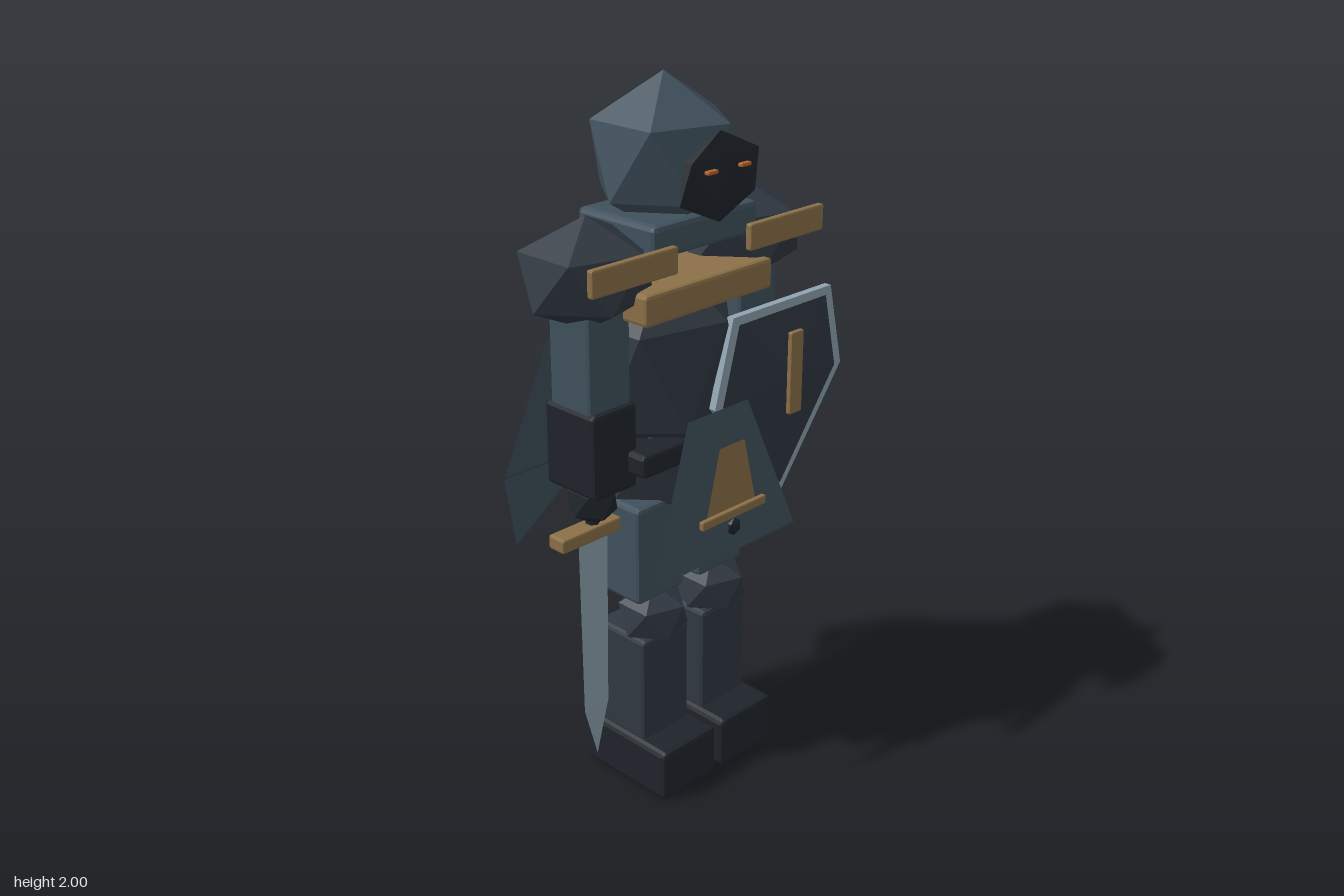
import * as THREE from 'three';
import { RoundedBoxGeometry } from 'three/addons/geometries/RoundedBoxGeometry.js';

const CX = -0.045; // body axis
const paint = (color) => new THREE.MeshStandardMaterial({ color, flatShading: true, side: THREE.DoubleSide });

export function createModel() {
  const model = new THREE.Group();
  const steel = paint(0x40515d), dark = paint(0x303842), black = paint(0x1f242b);
  const gold = paint(0x8c7048), blade = paint(0x8fa3af), ember = paint(0xb8622a);

  const add = (name, geometry, material) => {
    const mesh = new THREE.Mesh(geometry, material);
    mesh.name = name;
    model.add(mesh);
    return mesh;
  };

  // Chamfered box given by its limits
  const box = (name, mat, x0, x1, y0, y1, z0, z1, r = 0.012) => {
    const size = [x1 - x0, y1 - y0, z1 - z0];
    const g = new RoundedBoxGeometry(...size, 1, Math.min(r, Math.min(...size) * 0.25));
    return add(name, g.translate((x0 + x1) / 2, (y0 + y1) / 2, (z0 + z1) / 2), mat);
  };

  // Faceted ball: icosahedron standing on a vertex, scaled per axis
  const ball = (name, mat, x, y, z, rx, ry, rz) => {
    const g = new THREE.IcosahedronGeometry(1, 0);
    g.rotateZ(-Math.atan(2 / (1 + Math.sqrt(5))));
    return add(name, g.scale(rx, ry, rz).translate(x, y, z), mat);
  };

  // Flat sheet from corners, as a fan around the first one
  const sheet = (name, mat, corners) => {
    const tris = [];
    for (let i = 1; i < corners.length - 1; i++) tris.push(...corners[0], ...corners[i], ...corners[i + 1]);
    const g = new THREE.BufferGeometry();
    g.setAttribute('position', new THREE.Float32BufferAttribute(tris, 3));
    g.computeVertexNormals();
    return add(name, g, mat);
  };

  // Head
  ball('helmet', steel, CX, 1.786, 0.02, 0.214, 0.214, 0.21);
  ball('faceMask', black, CX, 1.762, 0.22, 0.16, 0.117, 0.027);
  for (const s of [-1, 1]) {
    const x = CX + s * 0.06;
    box('eye', ember, x - 0.018, x + 0.018, 1.783, 1.793, 0.24, 0.256);
  }
  box('neckGuard', steel, -0.235, 0.145, 1.57, 1.66, -0.106, 0.18, 0.015);

  // Torso
  ball('chest', dark, CX, 1.213, 0.025, 0.266, 0.31, 0.19);
  box('chestBand', gold, -0.28, 0.19, 1.41, 1.495, -0.127, 0.196, 0.01);
  box('belt', black, -0.283, 0.193, 0.99, 1.055, -0.137, 0.187);
  ball('pelvis', dark, CX, 0.95, 0.025, 0.22, 0.2, 0.18);

  // Arms and legs
  for (const s of [-1, 1]) {
    const side = s > 0 ? 'left' : 'right';
    const a = CX + s * 0.28, l = CX + s * 0.118;
    ball(side + 'Pauldron', dark, a, 1.53, 0.026, 0.2, 0.15, 0.182);
    box(side + 'PauldronTrim', gold, a - 0.146, a + 0.146, 1.535, 1.608, 0.187, 0.209, 0.008);
    box(side + 'UpperArm', steel, a - 0.072, a + 0.072, 1.15, 1.45, -0.045, 0.11);
    box(side + 'Forearm', black, a - 0.077, a + 0.077, 0.945, 1.185, -0.063, 0.127);
    ball(side + 'Hand', black, a, 0.9, 0.03, 0.072, 0.072, 0.08);
    box(side + 'Thigh', steel, l - 0.088, l + 0.088, 0.58, 0.87, -0.07, 0.13);
    ball(side + 'Knee', dark, l, 0.515, 0.095, 0.112, 0.09, 0.105);
    box(side + 'Shin', dark, l - 0.088, l + 0.088, 0.13, 0.47, -0.048, 0.148);
    box(side + 'Boot', black, l - 0.106, l + 0.106, 0, 0.155, -0.074, 0.245, 0.015);
  }

  // Tabard with a bell ornament
  sheet('tabard', steel, [
    [CX - 0.28, 0.715, 0.262], [CX + 0.28, 0.715, 0.262], [CX + 0.115, 1.13, 0.225], [CX - 0.115, 1.13, 0.225],
  ]);
  sheet('bellBody', gold, [
    [CX - 0.095, 0.86, 0.277], [CX + 0.095, 0.86, 0.277], [CX + 0.048, 1.05, 0.277], [CX - 0.048, 1.05, 0.277],
  ]);
  box('bellRim', gold, CX - 0.124, CX + 0.124, 0.838, 0.864, 0.276, 0.292, 0.004);
  ball('bellClapper', black, CX, 0.81, 0.288, 0.025, 0.026, 0.012);

  // Cape with two ragged tails
  sheet('cape', steel, [
    [CX + 0.35, 0.89, -0.252], [CX - 0.35, 0.89, -0.252], [CX - 0.262, 1.46, -0.085], [CX + 0.262, 1.46, -0.085],
  ]);
  for (const [s, tipY] of [[-1, 0.64], [1, 0.705]]) {
    const pts = [[CX + s * 0.35, 0.885, -0.255], [CX, 0.875, -0.26], [CX + s * 0.28, tipY, -0.298]];
    sheet('capeTail', steel, s > 0 ? pts : pts.reverse());
  }

  // Shield: rim plate, domed face made of facets, central bar
  const SX = 0.235, apex = [SX, 1.16, 0.242];
  const outline = [[-0.195, 1.36], [0.205, 1.36], [0.262, 1.115], [0.01, 0.78], [-0.262, 1.115]];
  const plate = new THREE.Shape(outline.map(([x, y]) => new THREE.Vector2(SX + x, y)));
  add('shieldRim', new THREE.ExtrudeGeometry(plate, { depth: 0.022, bevelEnabled: false }).translate(0, 0, 0.174), blade);
  const inner = outline.map(([x, y]) => [SX + x * 0.89, 1.12 + (y - 1.12) * 0.9, 0.198]);
  sheet('shieldFace', dark, [apex, ...[...inner, inner[0]].reverse()]);
  const back = outline.map(([x, y]) => [SX + x * 0.89, 1.12 + (y - 1.12) * 0.9, 0.172]);
  sheet('shieldBack', dark, back);
  box('shieldBar', gold, SX - 0.025, SX + 0.025, 1.05, 1.29, 0.24, 0.256, 0.004);

  // Sword: diamond section blade narrowing to a point, crossguard, grip
  const WX = -0.325, WZ = 0.03;
  const rows = [[0.81, 0.053], [0.25, 0.045], [0.09, 0]];
  const ring = ([y, w]) => [[WX + w, y, WZ], [WX, y, WZ + w * 0.25], [WX - w, y, WZ], [WX, y, WZ - w * 0.25]];
  const tris = [];
  for (let r = 0; r < 2; r++) {
    const top = ring(rows[r]), low = ring(rows[r + 1]);
    for (let i = 0; i < 4; i++) {
      const j = (i + 1) % 4;
      tris.push(...top[i], ...low[j], ...low[i], ...top[i], ...top[j], ...low[j]);
    }
  }
  const bladeShape = new THREE.BufferGeometry();
  bladeShape.setAttribute('position', new THREE.Float32BufferAttribute(tris, 3));
  bladeShape.computeVertexNormals();
  add('swordBlade', bladeShape, blade);
  box('swordGuard', gold, WX - 0.132, WX + 0.132, 0.79, 0.83, WZ - 0.03, WZ + 0.03, 0.006);
  add('swordGrip', new THREE.CylinderGeometry(0.02, 0.02, 0.14, 6).translate(WX, 0.89, WZ), black);

  return model;
}
